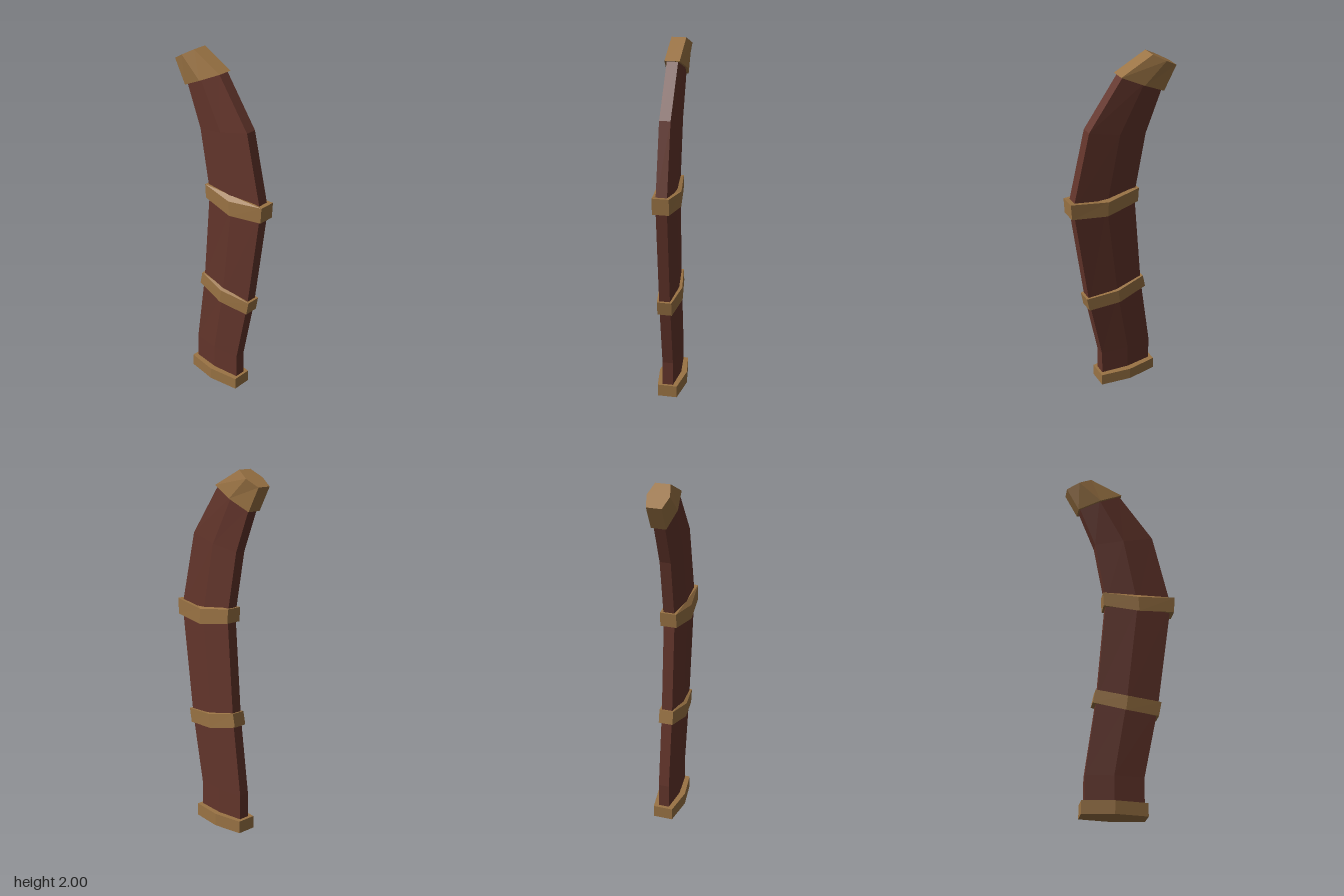
import * as THREE from 'three';

const leather = new THREE.MeshStandardMaterial({ color: 0x63352b, flatShading: true });
const brass = new THREE.MeshStandardMaterial({ color: 0x9a7344, flatShading: true });

// Six-sided lens section: left edge, thick middle ridge, right edge.
// edge and ridge are the half thicknesses along z.
function section([lx, ly], [mx, my], [rx, ry], edge, ridge) {
  return [
    [rx, ry, edge], [rx, ry, -edge], [mx, my, -ridge],
    [lx, ly, -edge], [lx, ly, edge], [mx, my, ridge],
  ];
}

// Joins sections from bottom to top into a closed, faceted solid.
function loft(name, material, sections) {
  const pos = [];
  const tri = (...points) => points.forEach((p) => pos.push(...p));
  const n = sections[0].length;
  for (let s = 0; s < sections.length - 1; s++) {
    const low = sections[s], high = sections[s + 1];
    for (let i = 0; i < n; i++) {
      const j = (i + 1) % n;
      tri(low[i], low[j], high[j]);
      tri(low[i], high[j], high[i]);
    }
  }
  const bottom = sections[0], top = sections[sections.length - 1];
  for (let i = 1; i < n - 1; i++) {
    tri(bottom[0], bottom[i + 1], bottom[i]);
    tri(top[0], top[i], top[i + 1]);
  }
  const geometry = new THREE.BufferGeometry();
  geometry.setAttribute('position', new THREE.Float32BufferAttribute(pos, 3));
  geometry.computeVertexNormals();
  const mesh = new THREE.Mesh(geometry, material);
  mesh.name = name;
  return mesh;
}

export function createModel() {
  const group = new THREE.Group();
  group.name = 'curvedScabbard';

  // Curved sheath body: left, middle and right points of each section
  const bodyRows = [
    [[-0.18, 0.04], [-0.03, 0.04], [0.13, 0.04]],
    [[-0.18, 0.21], [-0.03, 0.21], [0.13, 0.21]],
    [[-0.12, 0.65], [0.035, 0.61], [0.205, 0.59]],
    [[-0.075, 1.22], [0.1, 1.2], [0.29, 1.22]],
    [[-0.14, 1.57], [0.02, 1.6], [0.19, 1.64]],
    [[-0.235, 1.81], [-0.12, 1.86], [-0.005, 1.91]],
  ];
  group.add(loft('sheathBody', leather, bodyRows.map((r) => section(...r, 0.03, 0.047))));

  // Foot band around the open end
  group.add(loft('footBand', brass, [0, 0.07].map((y) =>
    section([-0.2, y], [-0.03, y], [0.145, y], 0.055, 0.08))));

  // Lower and upper middle bands
  group.add(loft('lowerBand', brass, [
    section([-0.145, 0.605], [0.03, 0.565], [0.21, 0.55], 0.04, 0.065),
    section([-0.13, 0.68], [0.04, 0.645], [0.225, 0.63], 0.04, 0.065),
  ]));
  group.add(loft('upperBand', brass, [
    section([-0.09, 1.18], [0.105, 1.15], [0.305, 1.17], 0.045, 0.07),
    section([-0.095, 1.26], [0.1, 1.235], [0.31, 1.26], 0.045, 0.07),
  ]));

  // Slanted end cap, narrowing to its tip
  group.add(loft('tipCap', brass, [
    section([-0.24, 1.79], [-0.115, 1.85], [0.01, 1.91], 0.04, 0.06),
    section([-0.31, 1.92], [-0.24, 1.96], [-0.17, 2], 0.04, 0.06),
  ]));

  return group;
}
